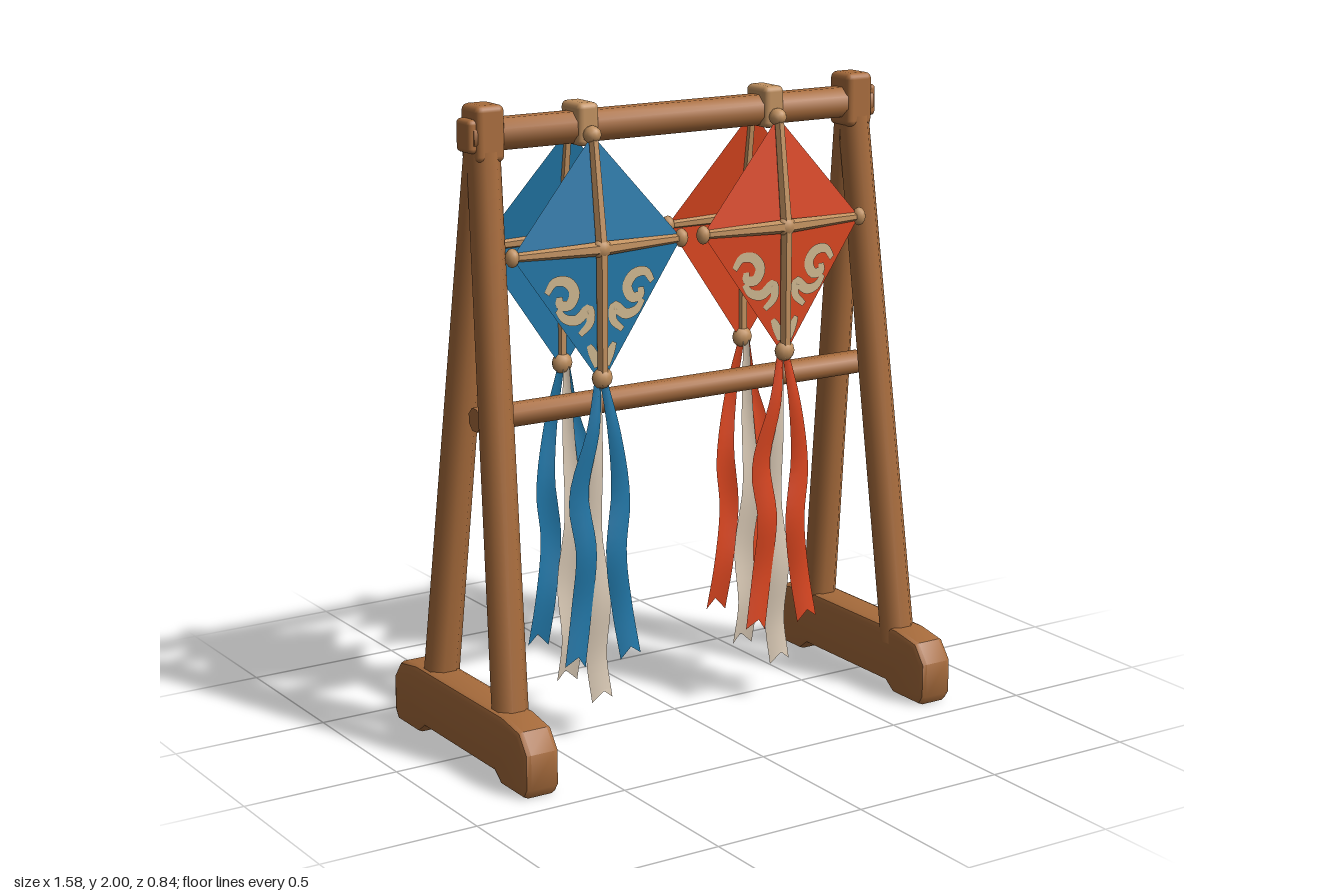
import * as THREE from 'three';
import { toCreasedNormals } from 'three/addons/utils/BufferGeometryUtils.js';
import { RoundedBoxGeometry } from 'three/addons/geometries/RoundedBoxGeometry.js';

const V = (x, y, z) => new THREE.Vector3(x, y, z);

function material(name, color, side = THREE.FrontSide) {
  const m = new THREE.MeshStandardMaterial({ color, side });
  m.name = name;
  return m;
}

function add(parent, name, geometry, mat, x = 0, y = 0, z = 0) {
  const mesh = new THREE.Mesh(geometry, mat);
  mesh.name = name;
  mesh.position.set(x, y, z);
  parent.add(mesh);
  return mesh;
}

// Tapered pole running from a to b
function pole(parent, name, a, b, ra, rb, mat, sides = 8) {
  const d = b.clone().sub(a);
  const g = new THREE.CylinderGeometry(rb, ra, d.length(), sides);
  g.rotateY(Math.PI / sides);
  const mesh = add(parent, name, toCreasedNormals(g, 0.9), mat);
  mesh.position.copy(a).add(b).multiplyScalar(0.5);
  mesh.quaternion.setFromUnitVectors(V(0, 1, 0), d.normalize());
  return mesh;
}

// Flat band along a curve: width(t), raised middle fold, optional swallowtail
function band(points, width, fold, tail, zAt, steps = 24) {
  const curve = new THREE.CatmullRomCurve3(points);
  const pos = [], index = [];
  for (let i = 0; i <= steps; i++) {
    const t = i / steps, p = curve.getPoint(t), d = curve.getTangent(t);
    const w = width(t) / 2;
    const n = V(-d.y, d.x, 0).normalize();
    for (const s of [-1, 0, 1]) {
      const q = p.clone().addScaledVector(n, s * w);
      if (s === 0) {
        q.z += fold;
        if (i === steps) q.addScaledVector(d, -tail);
      }
      if (zAt) q.z = zAt(q.x, q.y);
      pos.push(q.x, q.y, q.z);
    }
    if (i < steps) for (const k of [0, 1]) {
      const a = i * 3 + k;
      index.push(a, a + 3, a + 1, a + 1, a + 3, a + 4);
    }
  }
  const g = new THREE.BufferGeometry();
  g.setAttribute('position', new THREE.Float32BufferAttribute(pos, 3));
  g.setIndex(index);
  g.computeVertexNormals();
  return g;
}

// Kite corners, z pointing outward from the rack
const TOP = V(0, 1.89, 0.07), MID = V(0, 1.555, 0.115), LOW = V(0, 1.14, 0.115);
const HALF = 0.295, TIP_Z = 0.1;

const swirls = [
  { w: 0.036, p: [[.185, 1.435], [.16, 1.468], [.116, 1.465], [.092, 1.43], [.11, 1.395], [.142, 1.4], [.142, 1.423]] },
  { w: 0.034, p: [[.15, 1.385], [.125, 1.355], [.085, 1.347], [.045, 1.375], [.04, 1.335], [.075, 1.3]] },
  { w: 0.03, p: [[.045, 1.265], [.03, 1.235], [.018, 1.195]] },
];

function makeKite(cloth, M) {
  const kite = new THREE.Group();
  const left = V(-HALF, MID.y, TIP_Z), right = V(HALF, MID.y, TIP_Z);

  // Four cloth panels
  const sail = new THREE.BufferGeometry().setFromPoints([
    TOP, MID, right, TOP, left, MID, MID, LOW, right, left, LOW, MID]);
  sail.computeVertexNormals();
  add(kite, 'sail', sail, cloth);

  // Painted swirls on the lower panels
  const onSail = (x, y) => MID.z + (TIP_Z - MID.z) * Math.abs(x) / HALF + 0.004;
  for (const s of [-1, 1]) for (const { w, p } of swirls) {
    add(kite, 'swirl', band(p.map(([x, y]) => V(s * x, y, 0)),
      t => w * (0.55 + 0.45 * Math.sin(Math.PI * t)), 0, 0, onSail), M.cream);
  }

  // Spars, lashings and end knobs
  const o = V(0, 0, 0.006), hub = MID.clone().add(o);
  pole(kite, 'upperSpine', hub, TOP.clone().add(o), 0.02, 0.016, M.spar, 6);
  pole(kite, 'lowerSpine', hub, LOW.clone().add(o), 0.02, 0.018, M.spar, 6);
  const knob = (name, p, r) => add(kite, name, new THREE.IcosahedronGeometry(r, 1), M.spar, p.x, p.y, p.z);
  for (const tip of [left, right]) {
    pole(kite, 'crossSpar', hub, tip, 0.022, 0.013, M.spar, 6);
    const k = knob('sparKnob', tip, 0.027);
    k.scale.set(0.8, 1.1, 0.8);
  }
  knob('centreLashing', hub, 0.032).scale.z = 0.7;
  knob('topKnot', TOP, 0.028);
  knob('bottomKnot', V(0, 1.16, 0.118), 0.034).scale.z = 0.75;

  // Tail ribbons: [x, y] paths
  const tails = [
    { name: 'tailLeft', mat: cloth, z: 0.115, p: [[-.01, 1.15], [-.035, 1.0], [-.08, .8], [-.062, .62], [-.072, .45], [-.105, .26]] },
    { name: 'tailRight', mat: cloth, z: 0.115, p: [[.01, 1.15], [.04, .98], [.068, .78], [.045, .6], [.072, .42], [.095, .26]] },
    { name: 'tailMiddle', mat: M.pale, z: 0.1, p: [[0, 1.15], [-.015, .9], [-.022, .65], [-.004, .45], [-.012, .27], [0, .13]] },
  ];
  for (const { name, mat, z, p } of tails) {
    const path = p.map(([x, y], i) => V(x, y, z + (i % 2 ? 0.006 : -0.006)));
    add(kite, name, band(path, t => 0.024 + 0.05 * Math.min(1, t * 2.2), 0.012, 0.035), mat);
  }
  return kite;
}

export function createModel() {
  const model = new THREE.Group();
  model.name = 'kiteRack';
  const M = {
    wood: material('wood', 0xa86c3c),
    spar: material('light wood', 0xc0905f),
    blue: material('blue cloth', 0x2176a6, THREE.DoubleSide),
    red: material('red cloth', 0xd8451f, THREE.DoubleSide),
    cream: material('cream paint', 0xcdb68f, THREE.DoubleSide),
    pale: material('pale ribbon', 0xd8c8b4, THREE.DoubleSide),
  };

  // Foot outline (z, y): chamfered ends, recessed underside
  const half = [[.22, .03], [.26, 0], [.4, 0], [.42, .03], [.42, .14], [.375, .2], [.27, .218]];
  const outline = [...half, ...half.slice().reverse().map(([z, y]) => [-z, y])];
  const footGeo = new THREE.ExtrudeGeometry(
    new THREE.Shape(outline.map(([z, y]) => new THREE.Vector2(z, y))),
    { depth: 0.08, bevelThickness: 0.018, bevelSize: 0.018, bevelOffset: -0.018, bevelSegments: 2 });
  footGeo.translate(0, 0, -0.04).rotateY(Math.PI / 2);
  const foot = toCreasedNormals(footGeo, 0.7);

  // A-frame at each end
  for (const s of [-1, 1]) {
    const frame = new THREE.Group();
    frame.name = s > 0 ? 'leftFrame' : 'rightFrame';
    add(frame, 'foot', foot, M.wood, s * 0.732, 0, 0);
    for (const f of [-1, 1]) {
      pole(frame, f > 0 ? 'frontLeg' : 'backLeg',
        V(s * 0.727, 0.12, f * 0.225), V(s * 0.667, 1.93, 0), 0.056, 0.05, M.wood);
    }
    add(frame, 'postCap', new RoundedBoxGeometry(0.095, 0.17, 0.11, 2, 0.02), M.wood, s * 0.665, 1.915, 0);
    add(frame, 'beamEnd', new RoundedBoxGeometry(0.05, 0.1, 0.085, 2, 0.015), M.wood, s * 0.71, 1.91, 0);
    model.add(frame);
  }

  // Cross beams
  pole(model, 'topBeam', V(-0.72, 1.908, 0), V(0.72, 1.908, 0), 0.051, 0.051, M.wood);
  pole(model, 'lowerBeam', V(-0.71, 1.055, 0), V(0.71, 1.055, 0), 0.038, 0.038, M.wood);

  // Kites hang in pairs, one on each side of the beam
  for (const [x, cloth, name] of [[-0.335, M.blue, 'blueKite'], [0.335, M.red, 'redKite']]) {
    add(model, 'hangingLoop', new RoundedBoxGeometry(0.072, 0.13, 0.115, 2, 0.018), M.spar, x, 1.918, 0);
    for (const back of [0, 1]) {
      const kite = makeKite(cloth, M);
      kite.name = name + (back ? 'Back' : 'Front');
      kite.position.x = x;
      kite.rotation.y = back * Math.PI;
      model.add(kite);
    }
  }
  return model;
}
